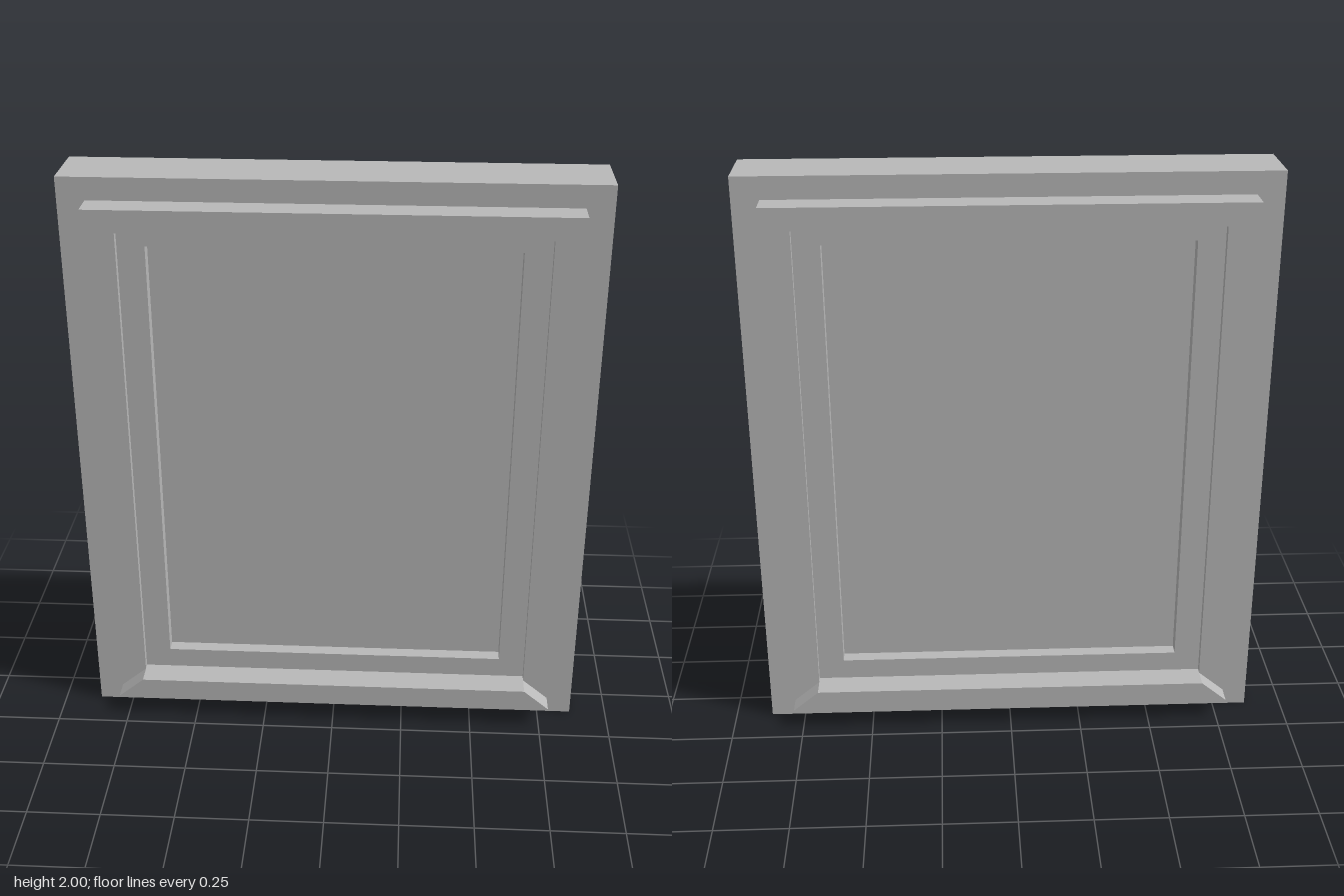
import * as THREE from 'three';

const HALF_W = 0.87, HEIGHT = 2, HALF_D = 0.11;

// Prism from an outline in x/y, spanning z0..z1
function prism(name, points, z0, z1, material, holePoints) {
  const shape = new THREE.Shape(points.map(([x, y]) => new THREE.Vector2(x, y)));
  if (holePoints) shape.holes.push(new THREE.Path(holePoints.map(([x, y]) => new THREE.Vector2(x, y))));
  const geometry = new THREE.ExtrudeGeometry(shape, { depth: z1 - z0, bevelEnabled: false });
  geometry.translate(0, 0, z0);
  const mesh = new THREE.Mesh(geometry, material);
  mesh.name = name;
  return mesh;
}

// Corners of a rectangle, counter-clockwise from bottom left
const rect = (w, y0, y1) => [[-w, y0], [w, y0], [w, y1], [-w, y1]];

export function createModel() {
  const model = new THREE.Group();
  model.name = 'framedPanel';
  const grey = new THREE.MeshStandardMaterial({ color: 0xb8b8b8 });
  grey.name = 'grey';

  // Outer frame with a rectangular opening, and the panel recessed in it
  const opening = rect(0.6, 0.226, 1.777);
  model.add(prism('frame', rect(HALF_W, 0, HEIGHT), -HALF_D, HALF_D, grey, opening));
  model.add(prism('recessedPanel', opening, -0.065, 0.065, grey));

  // Mitred moulding on both faces: tall top and bottom rails, shallow side rails
  const outer = rect(0.78, 0.078, 1.925);
  const inner = rect(0.69, 0.153, 1.85);
  const names = ['bottomRail', 'leftRail', 'topRail', 'rightRail'];
  for (const side of ['front', 'back']) {
    const moulding = new THREE.Group();
    moulding.name = side + 'Moulding';
    names.forEach((name, i) => {
      const j = (i + 1) % 4;
      const top = i % 2 === 0 ? 0.203 : 0.135;
      moulding.add(prism(name, [outer[i], outer[j], inner[j], inner[i]], HALF_D - 0.01, top, grey));
    });
    if (side === 'back') moulding.rotation.y = Math.PI;
    model.add(moulding);
  }
  return model;
}
